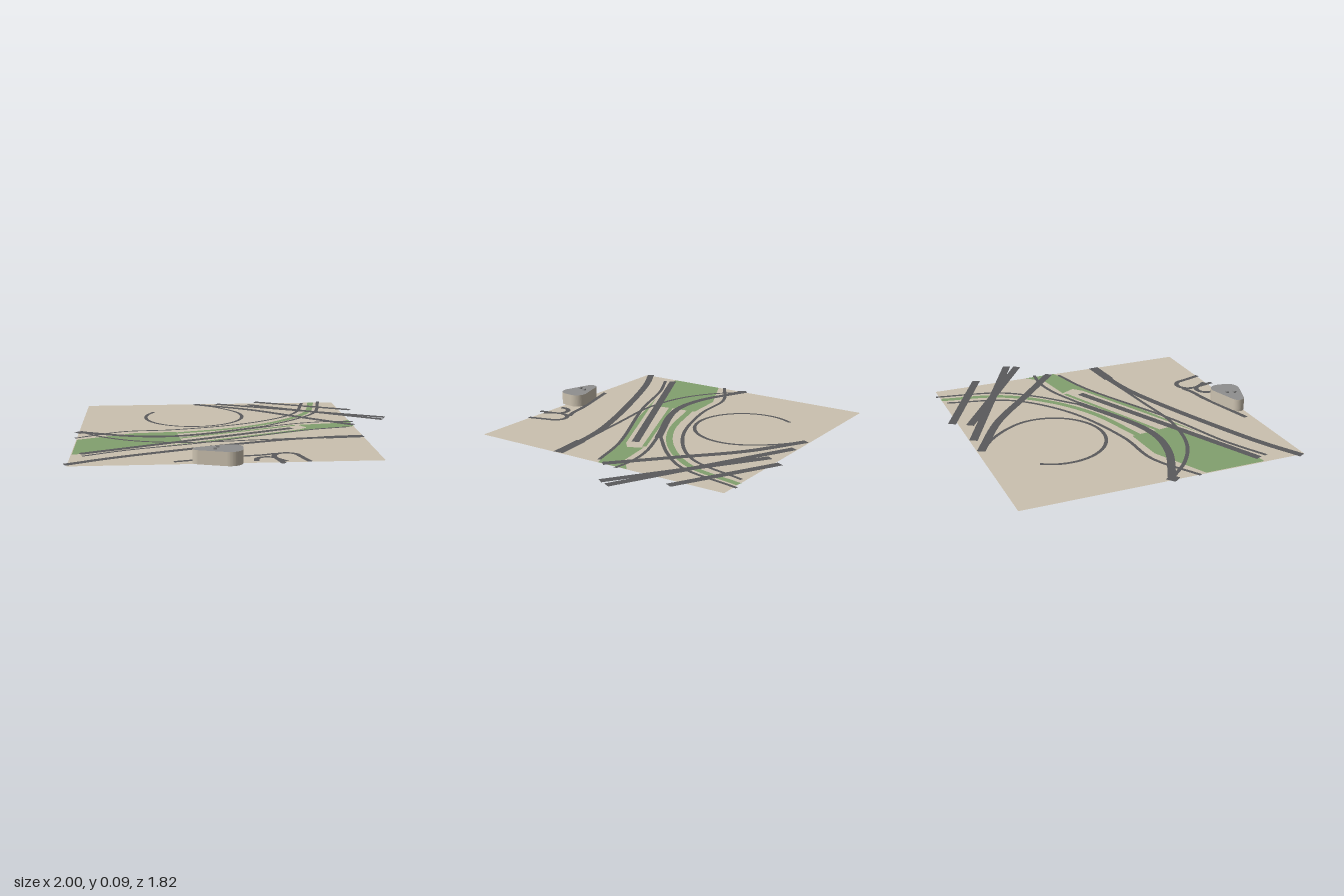
import * as THREE from 'three';

const paint = (color) => new THREE.MeshStandardMaterial({ color, side: THREE.DoubleSide });
const SAND = paint(0xcbc1af), GRASS = paint(0x82a06e), ASPHALT = paint(0x5a5a5c), ROOF = paint(0x8f8f8f);
const WIDE = 0.05, MEDIUM = 0.046, DRIVE = 0.03, NARROW = 0.022;
const GRASS_Y = 0.0015, ROAD_Y = 0.003;

// [x, z] points along a circle
function arc(x, z, r, from, to, n) {
  return Array.from({ length: n + 1 }, (_, i) => {
    const a = from + (to - from) * i / n;
    return [x + r * Math.cos(a), z + r * Math.sin(a)];
  });
}

// flat strip of constant width along a smooth path of [x, z] points
function strip(name, points, width, y, material) {
  const curve = new THREE.CatmullRomCurve3(points.map(([x, z]) => new THREE.Vector3(x, y, z)));
  const steps = points.length > 2 ? 48 : 1;
  const geo = new THREE.PlaneGeometry(1, 1, 1, steps).rotateX(-Math.PI / 2);
  const pos = geo.attributes.position;
  for (let i = 0; i <= steps; i++) {
    const p = curve.getPointAt(i / steps), t = curve.getTangentAt(i / steps).multiplyScalar(width / 2);
    pos.setXYZ(i * 2, p.x - t.z, y, p.z + t.x);
    pos.setXYZ(i * 2 + 1, p.x + t.z, y, p.z - t.x);
  }
  // rows run forward along the path with the right-hand edge first, so flip the faces upward
  geo.index.array.reverse();
  geo.computeVertexNormals();
  const mesh = new THREE.Mesh(geo, material);
  mesh.name = name;
  return mesh;
}

const road = (name, width, ...points) => strip(name, points, width, ROAD_Y, ASPHALT);
const verge = (name, width, ...points) => strip(name, points, width, GRASS_Y, GRASS);

// flat polygon lying on the ground
function lawn(name, ...points) {
  const shape = new THREE.Shape(points.map(([x, z]) => new THREE.Vector2(x, -z)));
  const mesh = new THREE.Mesh(new THREE.ShapeGeometry(shape).rotateX(-Math.PI / 2), GRASS);
  mesh.position.y = GRASS_Y;
  mesh.name = name;
  return mesh;
}

function group(name, ...parts) {
  const g = new THREE.Group();
  g.name = name;
  return g.add(...parts);
}

// rounded three-cornered block with a flat roof and two small boxes on it
function createBuilding() {
  const deg = Math.PI / 180;
  const plan = new THREE.Shape();
  plan.absarc(-0.105, -0.835, 0.07, -109 * deg, 0);
  plan.absarc(-0.095, -0.79, 0.065, 0, 106 * deg);
  plan.absarc(-0.265, -0.812, 0.04, 106 * deg, 251 * deg);
  const walls = new THREE.Mesh(
    new THREE.ExtrudeGeometry(plan, { depth: 0.077, bevelEnabled: false, curveSegments: 8 }).rotateX(-Math.PI / 2),
    [ROOF, SAND]);
  walls.name = 'wallsAndRoof';
  const boxes = [[-0.17, 0.79], [-0.185, 0.835]].map(([x, z]) => {
    const box = new THREE.Mesh(new THREE.BoxGeometry(0.018, 0.012, 0.016), ROOF);
    box.position.set(x, 0.082, z);
    box.name = 'roofBox';
    return box;
  });
  return group('building', walls, ...boxes);
}

export function createModel() {
  // square ground sheet
  const ground = new THREE.Mesh(new THREE.PlaneGeometry(1.705, 1.7).rotateX(-Math.PI / 2), SAND);
  ground.position.set(-0.1175, 0, -0.01);
  ground.name = 'ground';

  const lawns = group('lawns',
    lawn('westLawn', [-0.965, 0.215], [-0.64, 0.06], [-0.38, 0.04], [-0.35, 0.3], [-0.92, 0.575], [-0.965, 0.58]),
    lawn('eastLawn', [0.39, -0.105], [0.62, -0.14], [0.735, -0.24], [0.735, -0.04], [0.49, 0.035],
      [0.09, 0.21], [-0.5, 0.43], [0.38, 0.03], [0.435, -0.02]),
    verge('curvedVerge', 0.04, [-0.39, 0.08], [0.02, -0.05], [0.3, -0.24], [0.5, -0.5], [0.585, -0.86]),
    verge('medianVerge', 0.025, [-0.36, 0.215], [0.37, -0.095]));

  const roads = group('roads',
    // straight runs across the back right corner
    road('outerStraight', WIDE, [0.19, -0.895], [0.81, -0.565]),
    road('middleStraight', WIDE, [-0.085, -0.84], [0.99, -0.295]),
    road('innerStraight', WIDE, [0.13, -0.8], [0.96, -0.23]),
    road('diagonalRoad', WIDE, [-0.24, -0.84], [0.12, -0.625], [0.43, -0.35], [0.74, -0.075]),
    // open ring with its lead-in
    road('loopRoad', NARROW, [-0.22, -0.82], [-0.1, -0.725], ...arc(-0.255, -0.415, 0.315, -0.6, 3.71, 12)),
    // curves sweeping from the left edge to the back
    road('northCurve', NARROW, [-0.98, 0.175], [-0.7, 0.017], [-0.38, -0.017], [0.09, -0.18], [0.4, -0.45], [0.52, -0.84]),
    road('eastCurve', NARROW, [0.64, -0.88], [0.55, -0.48], [0.4, -0.28], [0.18, -0.08]),
    road('eastBranch', NARROW, [0.755, -0.175], [0.6, -0.185], [0.43, -0.155], [0.18, -0.06]),
    road('sweepingRoad', MEDIUM, [0.2, -0.075], [-0.26, 0.135], [-0.45, 0.17], [-0.66, 0.14], [-0.96, 0.01]),
    road('westStub', 0.06, [-0.98, 0.035], [-0.935, 0]),
    road('crossingLane', NARROW, [-0.94, 0.03], [-0.8, 0.17], [-0.6, 0.285], [-0.3, 0.34], [0.08, 0.305], [0.5, 0.26]),
    // long runs through the middle and front
    road('centralRoad', MEDIUM, [-0.92, 0.575], [0.335, -0.005]),
    road('southLane', NARROW, [-0.905, 0.63], [-0.66, 0.505], [-0.235, 0.355], [0.41, 0.06], [0.7, -0.02]),
    road('southRoad', MEDIUM, [-0.985, 0.815], [-0.72, 0.675], [0.03, 0.38], [0.35, 0.29], [0.735, 0.25]),
    road('wideSouthEnd', 0.065, [0.5, 0.27], [0.735, 0.25]),
    // drive and arched turnings beside the building
    road('drive', DRIVE, [-0.405, 0.795], [-0.02, 0.695], [0.08, 0.68], [0.16, 0.65]),
    road('largeArch', DRIVE, [0.2, 0.83], [0.15, 0.75], ...arc(0.215, 0.71, 0.07, Math.PI, 2 * Math.PI, 6), [0.325, 0.845]),
    road('smallArch', DRIVE, [0.04, 0.815], ...arc(0.1, 0.785, 0.06, Math.PI, 2 * Math.PI, 6), [0.18, 0.875]));

  return group('siteModel', ground, lawns, roads, createBuilding());
}
